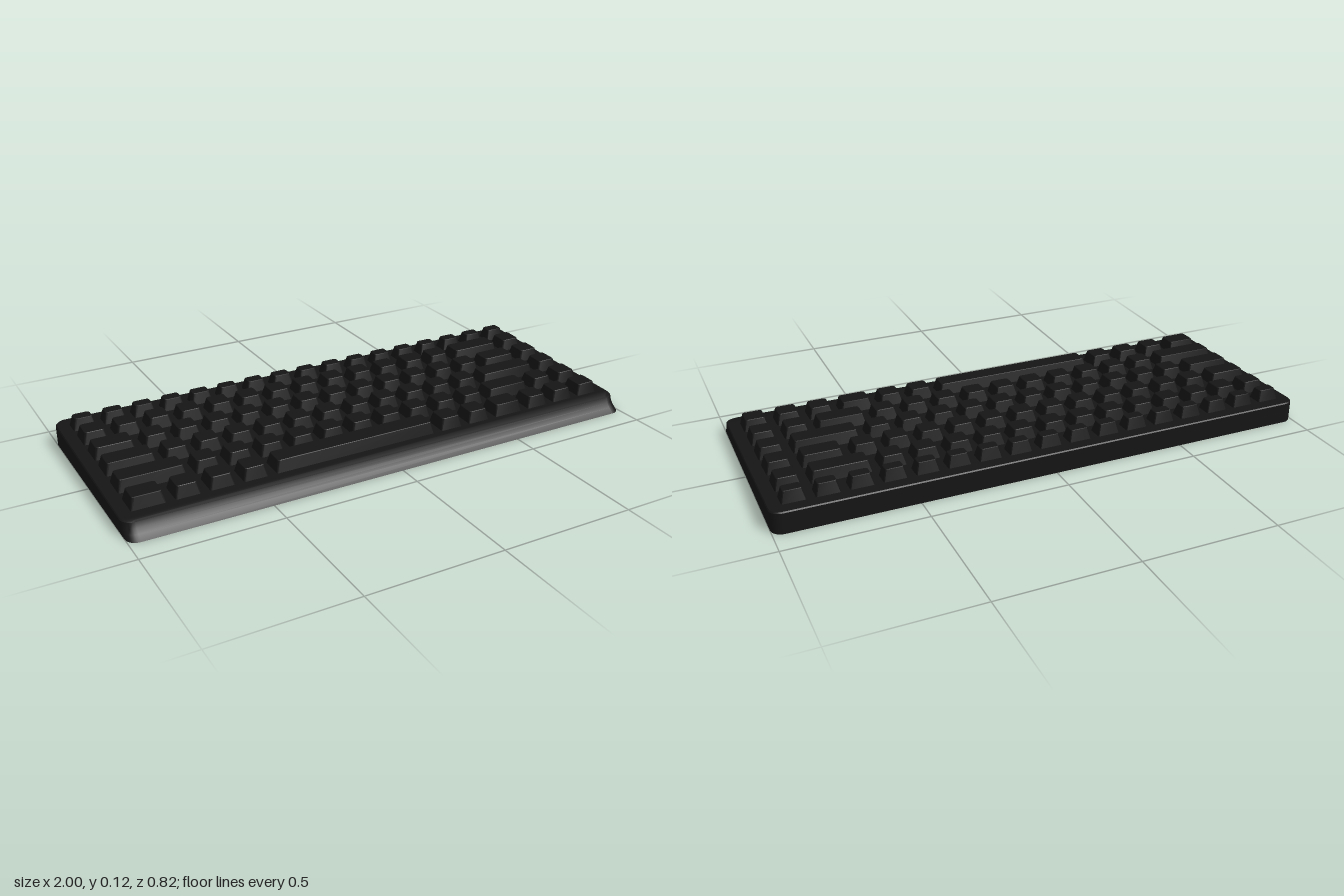
import * as THREE from 'three';
import { toCreasedNormals } from 'three/addons/utils/BufferGeometryUtils.js';

const bodyMaterial = new THREE.MeshStandardMaterial({ color: 0x151515 });
const keyMaterial = new THREE.MeshStandardMaterial({ color: 0x151515 });

const UNIT = 1.938 / 16; // pitch of a one-unit key
const GAP = 0.029;
const deckHeight = (z) => 0.0665 - 0.0345 * z;

// Closed loft through rounded rectangles; height runs linearly from back to front
function loft(levels, cornerSteps) {
  const positions = [];
  const index = [];
  const n = 4 * (cornerSteps + 1);
  for (const { halfW, back, front, yBack, yFront, r } of levels) {
    const corners = [[1, front - r], [-1, front - r], [-1, back + r], [1, back + r]];
    corners.forEach(([side, cz], c) => {
      for (let s = 0; s <= cornerSteps; s++) {
        const a = (c + s / cornerSteps) * Math.PI / 2;
        const x = side * (halfW - r) + r * Math.cos(a);
        const z = cz + r * Math.sin(a);
        positions.push(x, yBack + (yFront - yBack) * (z - back) / (front - back), z);
      }
    });
  }
  for (let l = 0; l < levels.length - 1; l++) {
    for (let i = 0; i < n; i++) {
      const j = (i + 1) % n;
      const a = l * n + i, b = l * n + j;
      index.push(a, a + n, b, b, a + n, b + n);
    }
  }
  // Bottom and top caps
  const top = (levels.length - 1) * n;
  for (let i = 1; i < n - 1; i++) {
    index.push(0, i, i + 1);
    index.push(top, top + i + 1, top + i);
  }
  const geometry = new THREE.BufferGeometry();
  geometry.setAttribute('position', new THREE.Float32BufferAttribute(positions, 3));
  geometry.setIndex(index);
  return toCreasedNormals(geometry, 0.5);
}

// Wedge-shaped case with a sloping, pointed front lip
function createCase() {
  const section = [
    [0.41, 0, 0],
    [0.388, 0.016, 0.02],
    [0.375, 0.031, 0.042],
    [0.368, 0.05, 0.076],
    [0.361, 0.054, 0.0805],
  ];
  const levels = section.map(([front, yFront, yBack], i) => ({
    halfW: i === 4 ? 0.997 : 1, back: i === 4 ? -0.407 : -0.41, front, yBack, yFront, r: 0.04,
  }));
  const mesh = new THREE.Mesh(loft(levels, 6), bodyMaterial);
  mesh.name = 'case';
  return mesh;
}

// Tapered keycap standing on the sloping deck
function createKey(width, depth, x, z) {
  const level = (inset, rise, r) => {
    const back = -depth / 2 + inset, front = depth / 2 - inset;
    return {
      halfW: width / 2 - inset, back, front, r,
      yBack: deckHeight(z + back) + rise, yFront: deckHeight(z + front) + rise,
    };
  };
  const levels = [level(0, -0.003, 0.006), level(0.01, 0.041, 0.009), level(0.012, 0.0425, 0.008)];
  const mesh = new THREE.Mesh(loft(levels, 3), keyMaterial);
  mesh.position.set(x, 0, z);
  return mesh;
}

const ones = (count) => Array(count).fill(1);

export function createModel() {
  const model = new THREE.Group();
  model.name = 'keyboard';
  model.add(createCase());

  // Key widths in units, from the back row to the front row
  const rows = [
    { name: 'functionRow', z: -0.33, depth: 0.064, keys: Array(17).fill(16 / 17) },
    { name: 'numberRow', z: -0.225, keys: [...ones(13), 2, 1] },
    { name: 'upperLetterRow', z: -0.101, keys: [1.5, ...ones(12), 1.5, 1] },
    { name: 'homeRow', z: 0.019, keys: [1.75, ...ones(11), 2.25, 1] },
    { name: 'lowerLetterRow', z: 0.142, keys: [2.25, ...ones(10), 1.75, 1, 1] },
    { name: 'spaceRow', z: 0.264, keys: [1.25, 1, 1, 1, 5.5, 1, 1, 1.25, 1, 1, 1] },
  ];

  for (const { name, z, depth = 0.092, keys } of rows) {
    const row = new THREE.Group();
    row.name = name;
    let x = -8 * UNIT;
    keys.forEach((units) => {
      const span = units * UNIT;
      const key = createKey(span - GAP, depth, x + span / 2, z);
      key.name = units > 5 ? 'spaceBar' : units > 1 ? 'wideKey' : 'key';
      row.add(key);
      x += span;
    });
    model.add(row);
  }
  return model;
}
